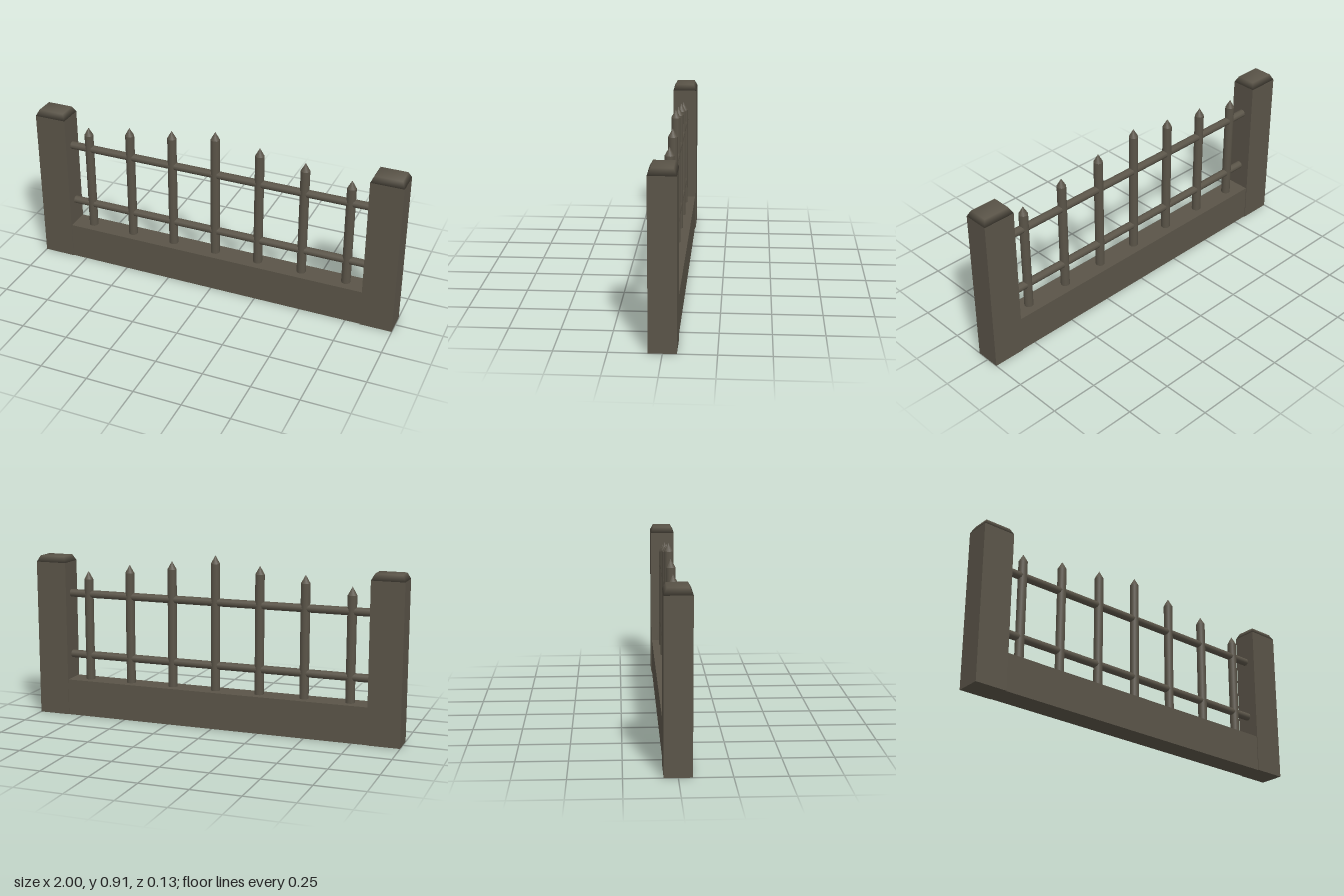
import * as THREE from 'three';
import { mergeVertices } from 'three/addons/utils/BufferGeometryUtils.js';

const iron = new THREE.MeshStandardMaterial({ color: 0x5a5448 });
iron.name = 'weathered grey brown';

function add(parent, name, geometry, x, y, z = 0) {
  const mesh = new THREE.Mesh(geometry, iron);
  mesh.name = name;
  mesh.position.set(x, y, z);
  parent.add(mesh);
  return mesh;
}

// Bevelled cap: a box whose top is drawn inwards, with softly shaded edges
function capGeometry(w, h, d, inset) {
  let g = new THREE.BoxGeometry(w, h, d);
  const p = g.attributes.position;
  for (let i = 0; i < p.count; i++) {
    if (p.getY(i) > 0) {
      p.setX(i, p.getX(i) - Math.sign(p.getX(i)) * inset);
      p.setZ(i, p.getZ(i) - Math.sign(p.getZ(i)) * inset);
    }
  }
  g.deleteAttribute('normal');
  g.deleteAttribute('uv');
  g = mergeVertices(g);
  g.computeVertexNormals();
  return g;
}

export function createModel() {
  const fence = new THREE.Group();
  fence.name = 'fence';

  // Low wall between the posts
  const wallTop = 0.195;
  add(fence, 'baseWall', new THREE.BoxGeometry(1.66, wallTop, 0.124), 0, wallTop / 2);

  // End posts with caps
  const postTop = 0.833, capHeight = 0.032;
  for (const side of [-1, 1]) {
    const post = new THREE.Group();
    post.name = side > 0 ? 'leftPost' : 'rightPost';
    post.position.x = side * 0.915;
    add(post, 'shaft', new THREE.BoxGeometry(0.17, postTop, 0.132), 0, postTop / 2);
    add(post, 'cap', capGeometry(0.17, capHeight, 0.132, 0.016), 0, postTop + capHeight / 2);
    fence.add(post);
  }

  // Two horizontal rails
  for (const [name, y] of [['lowerRail', 0.328], ['upperRail', 0.663]]) {
    const rail = add(fence, name, new THREE.CylinderGeometry(0.021, 0.021, 1.66, 10), 0, y);
    rail.rotation.z = Math.PI / 2;
  }

  // Pointed bars, rising towards the middle
  const tops = [0.907, 0.865, 0.833, 0.787];
  const radius = 0.024, tip = 0.043;
  for (let i = -3; i <= 3; i++) {
    const top = tops[Math.abs(i)];
    const length = top - tip - wallTop;
    const bar = new THREE.Group();
    bar.name = 'bar';
    bar.position.x = i * 0.2415;
    add(bar, 'rod', new THREE.CylinderGeometry(radius, radius, length, 10, 1, true), 0, wallTop + length / 2);
    add(bar, 'point', new THREE.ConeGeometry(radius, tip, 10, 1, true), 0, top - tip / 2);
    fence.add(bar);
  }
  return fence;
}
